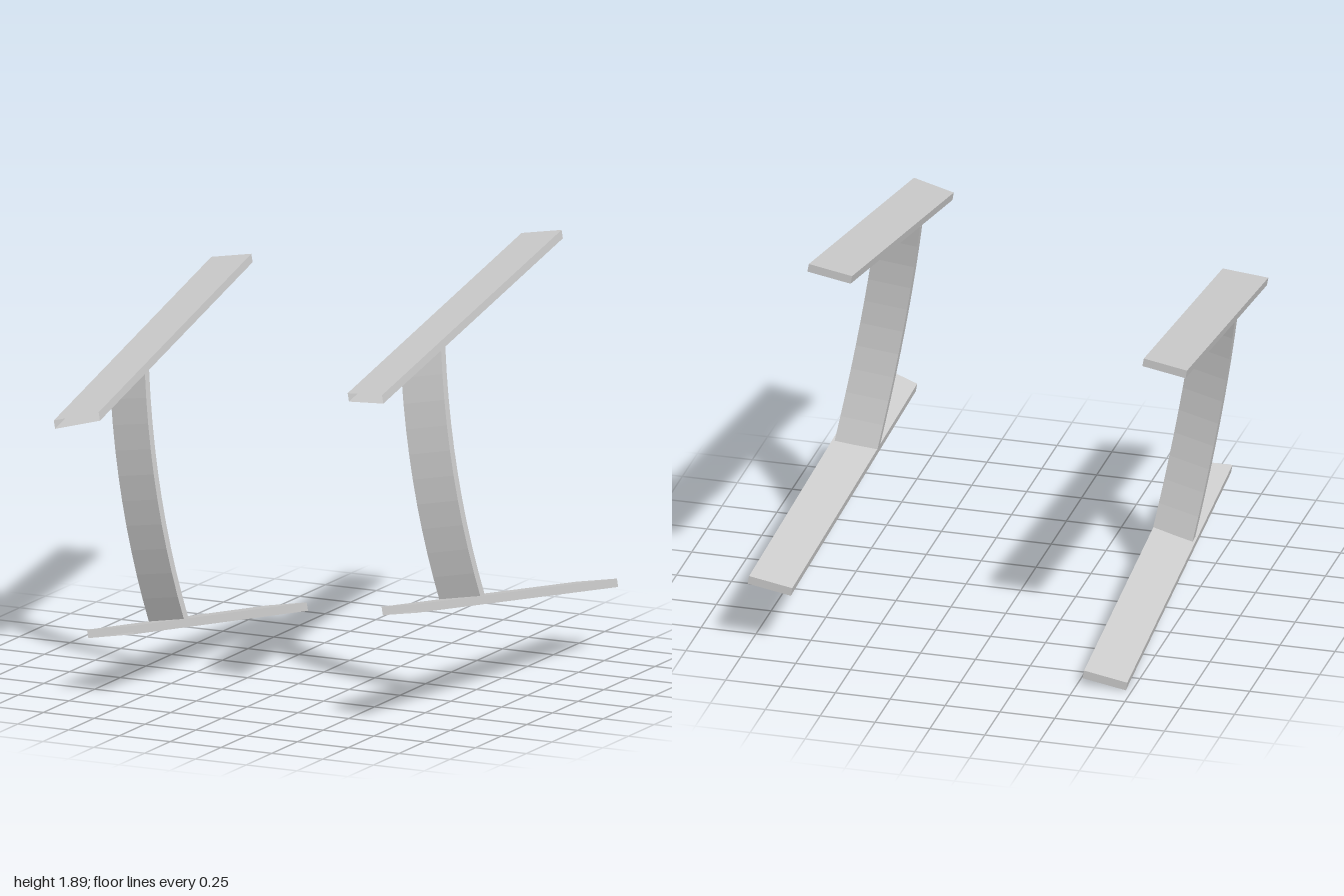
import * as THREE from 'three';

const material = new THREE.MeshStandardMaterial({ color: 0xcccccc, flatShading: true, side: THREE.DoubleSide });

// Skin a list of four-cornered rings; rings run counter-clockwise seen from the last one
function loft(name, rings, side, capStart, capEnd) {
  const pos = [];
  const quad = (a, b, c, d) => [a, b, c, a, c, d].forEach((p) => pos.push(...p));
  const placed = rings.map((ring) => {
    const r = ring.map(([x, y, z]) => [x * side, y, z]);
    return side < 0 ? r.reverse() : r;
  });
  for (let i = 0; i + 1 < placed.length; i++) {
    const a = placed[i], b = placed[i + 1];
    for (let j = 0; j < 4; j++) {
      const k = (j + 1) % 4;
      quad(a[j], a[k], b[k], b[j]);
    }
  }
  if (capStart) quad(...[...placed[0]].reverse());
  if (capEnd) quad(...placed[placed.length - 1]);
  const geometry = new THREE.BufferGeometry();
  geometry.setAttribute('position', new THREE.Float32BufferAttribute(pos, 3));
  geometry.computeVertexNormals();
  const mesh = new THREE.Mesh(geometry, material);
  mesh.name = name;
  return mesh;
}

// Flat hollow bar: slanted open front, closed back
function bar(name, side, yFront, yBack) {
  const t = 0.038;
  const yInner = yFront + (yBack - yFront) * 0.055 / 1.77;
  const ring = (xo, xi, yo, yi, zo, zi) => [[xo, yo, zo], [xi, yi, zi], [xi, yi + t, zi], [xo, yo + t, zo]];
  return loft(name, [
    ring(0.82, 0.622, yFront, yInner, 0.885, 0.83),
    ring(0.875, 0.675, yBack, yBack, -0.885, -0.885),
  ], side, false, true);
}

// Upright bowed forward, its outer edge set slightly further back
function strut(side) {
  const rings = [], n = 10;
  for (let i = 0; i <= n; i++) {
    const u = (i / n) * 2 - 1;
    const y = -0.035 + u * 0.56;
    const zi = 0.392 - 0.07 * u * u;
    const zo = zi - 0.027;
    const t = 0.042;
    // ends follow the slope of the bars
    rings.push([[0.638, y, zi], [0.828, y, zo], [0.828, y, zo - t], [0.638, y, zi - t]]);
  }
  return loft('strut', rings, side, true, true);
}

export function createModel() {
  const model = new THREE.Group();
  model.name = 'pairedFrames';

  // Mirrored pair of frames, banked together
  const banked = new THREE.Group();
  banked.name = 'bankedFrames';
  for (const side of [1, -1]) {
    const frame = new THREE.Group();
    frame.name = side > 0 ? 'leftFrame' : 'rightFrame';
    frame.add(
      bar('upperBar', side, 0.398, 0.768),
      bar('lowerBar', side, -0.543, -0.8),
      strut(side),
    );
    banked.add(frame);
  }
  banked.rotation.z = THREE.MathUtils.degToRad(10);
  banked.position.y = 0.94;
  model.add(banked);
  return model;
}
